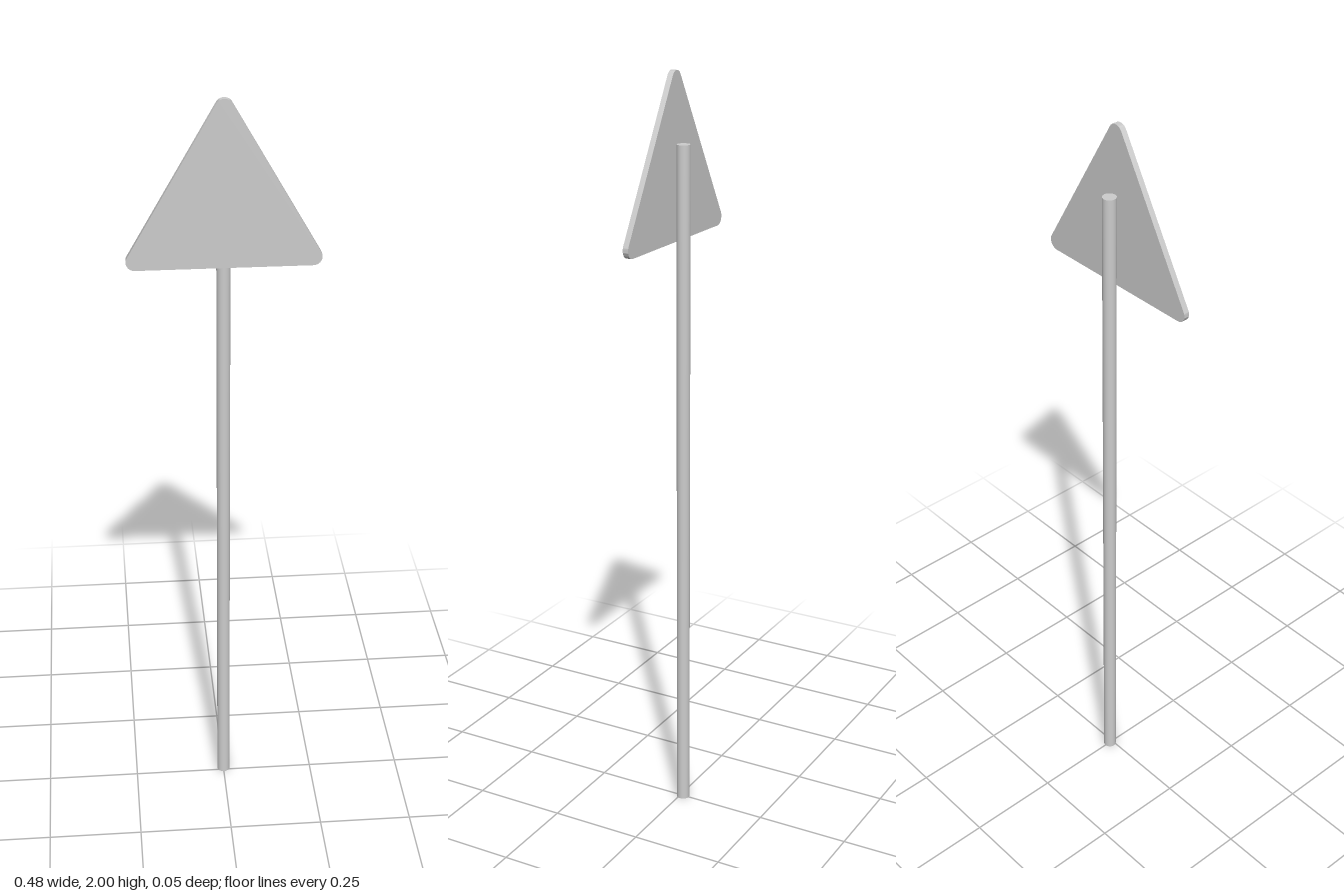
import * as THREE from 'three';
import { toCreasedNormals } from 'three/addons/utils/BufferGeometryUtils.js';

// Equilateral triangle with rounded corners, pointing up, centred on the origin
function roundedTriangle(cornerDistance, cornerRadius) {
  const shape = new THREE.Shape();
  for (let i = 0; i < 3; i++) {
    const a = Math.PI / 2 + (i * Math.PI * 2) / 3;
    shape.absarc(
      Math.cos(a) * cornerDistance, Math.sin(a) * cornerDistance,
      cornerRadius, a - Math.PI / 3, a + Math.PI / 3, false
    );
  }
  shape.closePath();
  return shape;
}

export function createModel() {
  const model = new THREE.Group();
  model.name = 'triangularRoadSign';
  const grey = new THREE.MeshStandardMaterial({ color: 0xcccccc });

  // Round post standing on the ground, behind the plate
  const postHeight = 1.822;
  const post = new THREE.Mesh(new THREE.CylinderGeometry(0.0175, 0.0175, postHeight, 32), grey);
  post.name = 'post';
  post.position.set(0, postHeight / 2, -0.0085);
  model.add(post);

  // Thin sign plate fixed to the front of the post
  const plateGeometry = new THREE.ExtrudeGeometry(roundedTriangle(0.252, 0.022), {
    depth: 0.015, bevelEnabled: false, curveSegments: 12,
  });
  const plate = new THREE.Mesh(toCreasedNormals(plateGeometry, Math.PI / 5), grey);
  plate.name = 'signPlate';
  plate.position.set(0, 1.726, 0.0105);
  model.add(plate);

  return model;
}
